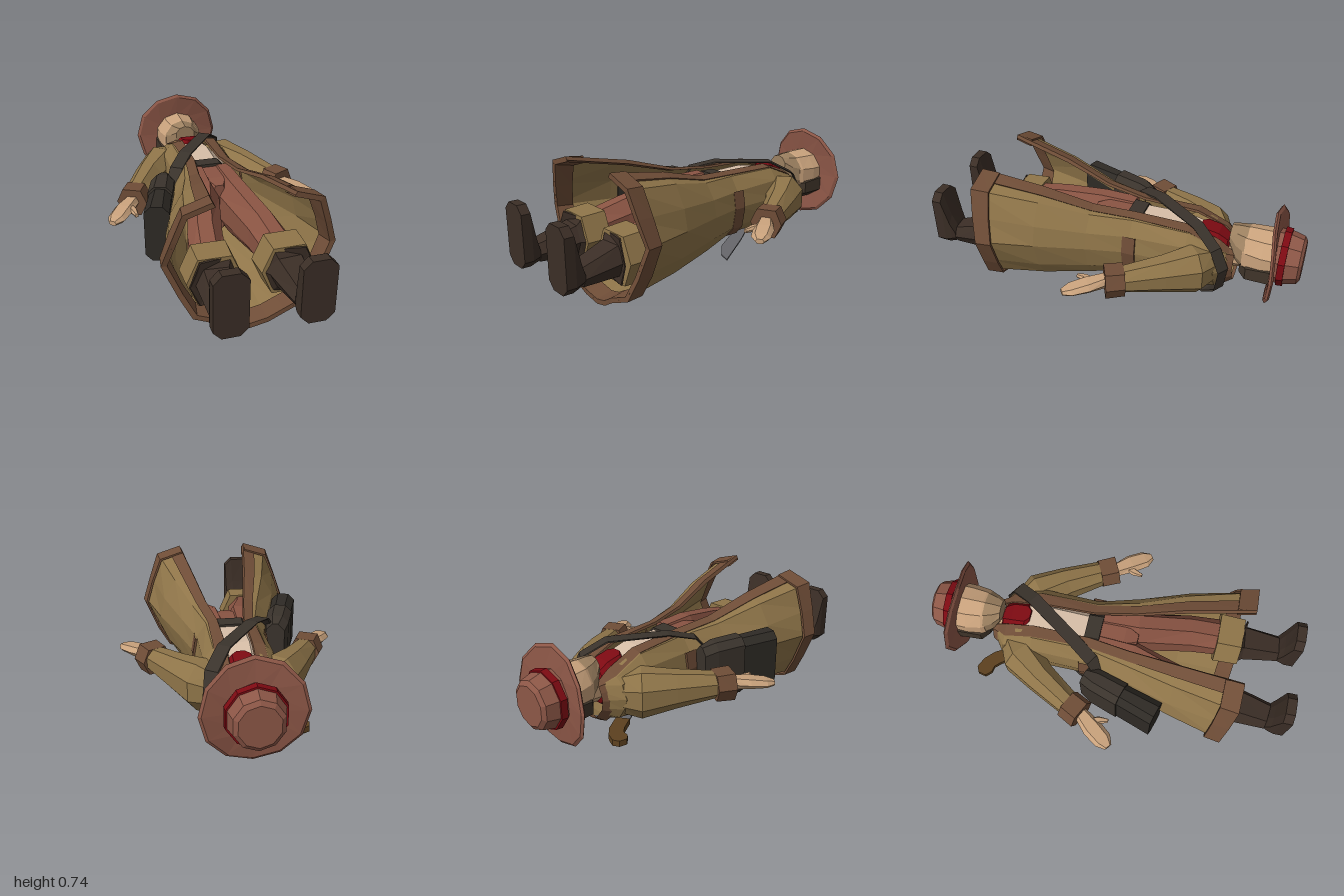
import * as THREE from 'three';

const mat = (color) => new THREE.MeshStandardMaterial({ color, flatShading: true, side: THREE.DoubleSide });
const M = {
  coat: mat(0x8f7549), trim: mat(0x6f4d37), trousers: mat(0x8a5443), hat: mat(0x8d5747), red: mat(0x7d0a12),
  boot: mat(0x3b2e26), bag: mat(0x2e2a25), flap: mat(0x3a332c), skin: mat(0xc9a27c), beard: mat(0x9c8060), shirt: mat(0xd8bfa8),
  wood: mat(0x5e4220), steel: mat(0x66666a), hair: mat(0x40352a),
};

// Skin a grid of [x, y, z] rows
function loft(rows, closed = false) {
  const n = rows[0].length, index = [], cols = closed ? n : n - 1;
  for (let i = 0; i < rows.length - 1; i++)
    for (let j = 0; j < cols; j++) {
      const a = i * n + j, b = i * n + (j + 1) % n;
      index.push(a, b, a + n, b, b + n, a + n);
    }
  const g = new THREE.BufferGeometry();
  g.setAttribute('position', new THREE.Float32BufferAttribute(rows.flat(2), 3));
  g.setIndex(index);
  g.computeVertexNormals();
  return g;
}

// Cross-sections: a regular polygon, a hexagon pointing sideways, or a rectangle with chamfered corners
const polygon = (n) => (ru, rv) => Array.from({ length: n }, (_, j) => {
  const t = (j + 0.5) / n * Math.PI * 2, k = 1 / Math.cos(Math.PI / n);
  return [Math.cos(t) * ru * k, Math.sin(t) * rv * k];
});
const hexagon = (u, v) => [[u, 0], [u * .6, v], [-u * .6, v], [-u, 0], [-u * .6, -v], [u * .6, -v]];
const chamfered = (c) => (u, v) => [[u, v - c], [u - c, v], [c - u, v], [-u, v - c], [-u, c - v], [c - u, -v], [u - c, -v], [u, c - v]];

// Capped limb through stations [x, y, z, radius across, radius in depth]
function limb(st, section = polygon(8)) {
  const rows = st.map((s, i) => {
    const a = st[Math.max(i - 1, 0)], b = st[Math.min(i + 1, st.length - 1)];
    const dx = b[0] - a[0], dy = b[1] - a[1], l = Math.hypot(dx, dy);
    return section(s[3], s[4]).map(([u, v]) => [s[0] - dy / l * u, s[1] + dx / l * u, s[2] + v]);
  });
  const cap = (s) => rows[0].map(() => s.slice(0, 3));
  return loft([cap(st[0]), ...rows, cap(st[st.length - 1])], true);
}

// Half outlines of the coat [x, depth] from front edge to middle of the back; t is the trim width
const COAT = [
  { y: 0.645, t: 0.9, p: [[.06, .46], [.085, .45], [.10, .42], [.11, .38], [.10, .33], [.07, .29], [.05, .27], [.02, .26], [0, .26]] },
  { y: 0.58, t: 0.9, p: [[.065, .51], [.13, .49], [.17, .46], [.20, .39], [.18, .33], [.14, .27], [.08, .245], [.04, .24], [0, .24]] },
  { y: 0.42, t: 0.9, p: [[.065, .57], [.13, .56], [.18, .5], [.19, .4], [.18, .3], [.14, .245], [.08, .23], [.04, .23], [0, .23]] },
  { y: 0.12, t: 0.8, p: [[.07, .58], [.13, .565], [.18, .49], [.195, .4], [.175, .29], [.13, .24], [.08, .227], [.04, .225], [0, .225]] },
  { y: -0.1, t: 0.65, p: [[.105, .60], [.18, .58], [.24, .50], [.26, .41], [.23, .28], [.18, .20], [.11, .18], [.05, .165], [0, .16]] },
  { y: -0.36, t: 0.55, p: [[.15, .675], [.255, .64], [.32, .53], [.345, .42], [.30, .265], [.235, .165], [.145, .13], [.07, .10], [0, .085]] },
  { y: [-.70, -.70, -.68, -.655, -.67, -.69, -.70, -.69, -.68], t: 0.5,
    p: [[.2, .745], [.34, .7], [.39, .56], [.435, .425], [.36, .25], [.295, .125], [.175, .08], [.09, .03], [0, .004]] },
];
const grow = ([x, y, z], s) => [x * s, y, 0.4 + (z - 0.4) * s];
const mirrorRow = (h) => [...h, ...h.slice(0, -1).reverse().map(([x, y, z]) => [-x, y, z])];
const between = (a, b, t) => a.map((v, i) => v + (b[i] - v) * t);

export function createModel() {
  const root = new THREE.Group(), body = new THREE.Group();
  body.name = 'figure';
  body.rotation.x = -Math.PI / 2; // the figure lies on its back
  root.add(body);
  const add = (name, geo, m, parent = body) => {
    const mesh = new THREE.Mesh(geo, m);
    mesh.name = name;
    parent.add(mesh);
    return mesh;
  };

  // Coat shell, hem, collar and waist band
  const last = COAT.length - 1;
  const halves = COAT.map((r) => r.p.map(([x, z], j) => [x, Array.isArray(r.y) ? r.y[j] : r.y, z]));
  add('coat', loft(halves.map((h, i) => mirrorRow(h.map((p) => grow(p, i === last ? 0.965 : 1))))), M.coat);
  const hem = halves[last];
  const hemTop = hem.map((p, j) => between(p, halves[last - 1][j], 0.28));
  add('coatHem', loft([
    hemTop, hemTop.map((p) => grow(p, 1.03)), hem, hem.map((p) => grow(p, 0.93)), hemTop.map((p) => grow(p, 0.93)),
  ].map(mirrorRow)), M.trim);
  add('coatWaistBand', loft([[0.085, 1], [0.085, 1.06], [0.155, 1.06], [0.155, 1]]
    .map(([y, k]) => mirrorRow(halves[3].map(([x, , z]) => grow([x, y, z], k)).slice(2)))), M.trim);
  add('collar', loft([[.66, 1.03], [.61, 1.28], [.60, 1.3]].map(([y, k]) =>
    mirrorRow(halves[0].map(([x, , z]) => grow([x, y, z], k))))), M.trim);

  // Front edge trims, folded around to the inside
  for (const s of [1, -1]) {
    const rows = halves.map((h, i) => {
      const q = between(h[0], h[1], COAT[i].t), out = i === last ? 0 : 0.02;
      return [grow(h[0], 0.95), grow(h[0], 1 + out), grow(q, 1 + out * 1.4), grow(q, 0.95)].map(([x, y, z]) => [x * s, y, z]);
    });
    add('frontTrim', loft(rows, true), M.trim);
  }

  // Torso
  add('shirt', limb([[0, .10, .40, .14, .15], [0, .35, .395, .15, .155], [0, .52, .39, .13, .13], [0, .6, .39, .07, .08]]), M.shirt);
  add('scarf', limb([[0, .46, .42, .05, .134], [0, .485, .41, .11, .14], [0, .56, .41, .11, .125], [0, .61, .41, .085, .09], [0, .62, .41, .06, .07]]), M.red);
  add('belt', limb([[0, .15, .40, .152, .162], [0, .07, .40, .157, .165]]), M.flap);
  add('trouserTop', limb([[0, .08, .40, .15, .15], [0, -.06, .40, .13, .145], [0, -.13, .40, .05, .13]]), M.trousers);

  // Head, beard and hair
  add('neck', limb([[0, .55, .39, .06, .06], [0, .7, .41, .06, .07]]), M.skin);
  add('beard', limb([[0, .62, .525, .055, .05], [0, .66, .48, .085, .098], [0, .72, .455, .113, .123]], polygon(10)), M.beard);
  add('head', limb([[0, .70, .458, .105, .118], [0, .72, .455, .115, .125],
    [0, .80, .45, .128, .13], [0, .87, .45, .128, .13]], polygon(10)), M.skin);
  add('hair', limb([[0, .69, .375, .08, .06], [0, .73, .38, .128, .08], [0, .86, .39, .138, .09]]), M.hair);

  // Hat with a curled brim
  const hat = new THREE.Group();
  hat.name = 'hat';
  hat.position.z = 0.447;
  hat.scale.z = 1.04;
  body.add(hat);
  const lathe = (pts, n) => new THREE.LatheGeometry(pts.map((p) => new THREE.Vector2(...p)), n);
  const brim = lathe([[.12, .875], [.24, .862], [.255, .85], [.24, .84], [.12, .855]], 12);
  const bp = brim.attributes.position;
  for (let i = 0; i < bp.count; i++) bp.setY(i, bp.getY(i) - 0.012 + 0.04 * (bp.getX(i) / 0.25) ** 2);
  add('hatBrim', brim, M.hat, hat);
  add('hatCrown', lathe([[.138, .86], [.138, .92], [.122, .985], [.10, 1], [0, 1]], 10), M.hat, hat);
  add('hatBand', lathe([[.13, .885], [.15, .885], [.147, .92], [.13, .92]], 10), M.red, hat);

  // Arms and legs, one pair per side
  for (const s of [1, -1]) {
    const side = new THREE.Group();
    side.name = s > 0 ? 'leftLimbs' : 'rightLimbs';
    side.scale.x = s;
    body.add(side);
    add('sleeve', limb([[.12, .54, .385, .07, .10], [.19, .475, .39, .105, .125], [.29, .34, .395, .08, .095], [.415, .13, .39, .06, .06]]), M.coat, side);
    add('sleeveCuff', limb([[.393, .17, .388, .082, .07], [.437, .082, .385, .084, .074]], hexagon), M.trim, side);
    add('hand', limb([[.43, .09, .39, .038, .03], [.495, .01, .385, .054, .026], [.545, -.06, .375, .05, .02], [.573, -.095, .37, .022, .012]], hexagon), M.skin, side);
    add('thumb', limb([[.47, .04, .388, .025, .018], [.445, -.02, .385, .02, .015], [.437, -.065, .38, .01, .01]], hexagon), M.skin, side);
    add('trouserLeg', limb([[.075, .07, .402, .077, .157], [.085, -.12, .40, .083, .155], [.155, -.4, .36, .088, .125], [.185, -.6, .33, .09, .10]]), M.trousers, side);
    add('bootTop', limb([[.183, -.55, .325, .143, .13], [.185, -.685, .322, .138, .125]], hexagon), M.coat, side);
    add('boot', limb([[.185, -.68, .322, .134, .121], [.183, -.69, .322, .13, .118], [.182, -.70, .322, .10, .078], [.20, -.90, .295, .075, .048]], hexagon), M.boot, side);
    add('foot', limb([[.20, -.90, .30, .07, .055], [.202, -.92, .33, .077, .088],
      [.203, -.95, .397, .083, .163], [.203, -1, .397, .083, .163]], chamfered(.04)), M.boot, side);
  }

  // Shoulder strap, a closed ribbon around the torso
  const path = [[.17, .625, .40], [.155, .575, .51], [.08, .46, .583], [-.10, .20, .592], [-.18, .08, .56], [-.25, -.02, .42],
    [-.17, .10, .235], [-.02, .34, .21], [.12, .54, .22], [.165, .61, .28], [.17, .625, .40]];
  const edge = (s, k) => path.map(([x, y, z]) => grow([x + .029 * s, y - .019 * s, z], k));
  add('strap', loft([edge(-1, .98), edge(-1, 1.02), edge(1, 1.02), edge(1, .98), edge(-1, .98)]), M.flap);

  // Satchel at the hip, with a flap over its upper half
  add('satchelBody', limb([[-.25, .10, .39, .045, .13], [-.27, .04, .39, .056, .15], [-.377, -.305, .39, .065, .155]], chamfered(.035)), M.bag);
  add('satchelFlap', limb([[-.247, .105, .39, .05, .14], [-.27, .04, .39, .063, .16], [-.317, -.11, .39, .066, .163]], chamfered(.035)), M.flap);

  // Long knife slung across the back
  const knife = new THREE.Group();
  knife.name = 'knife';
  knife.position.set(-.14, .57, .232);
  knife.rotation.set(.07, 0, Math.atan2(.43, .64), 'ZXY');
  body.add(knife);
  const plate = (pts, depth) => new THREE.ExtrudeGeometry(new THREE.Shape(pts.map((p) => new THREE.Vector2(...p))), { depth, bevelEnabled: false }).translate(0, 0, -depth / 2);
  add('blade', plate([[-.03, 0], [.028, 0], [.03, -.5], [.015, -.775], [-.03, -.72], [-.055, -.62], [-.038, -.4]], .008), M.steel, knife);
  add('knifeHandle', plate([[-.036, -.03], [.036, -.03], [.038, .09], [.022, .155], [-.01, .205], [-.045, .21], [-.075, .18], [-.068, .14], [-.042, .115], [-.034, .07]], .03), M.wood, knife);

  return root;
}
